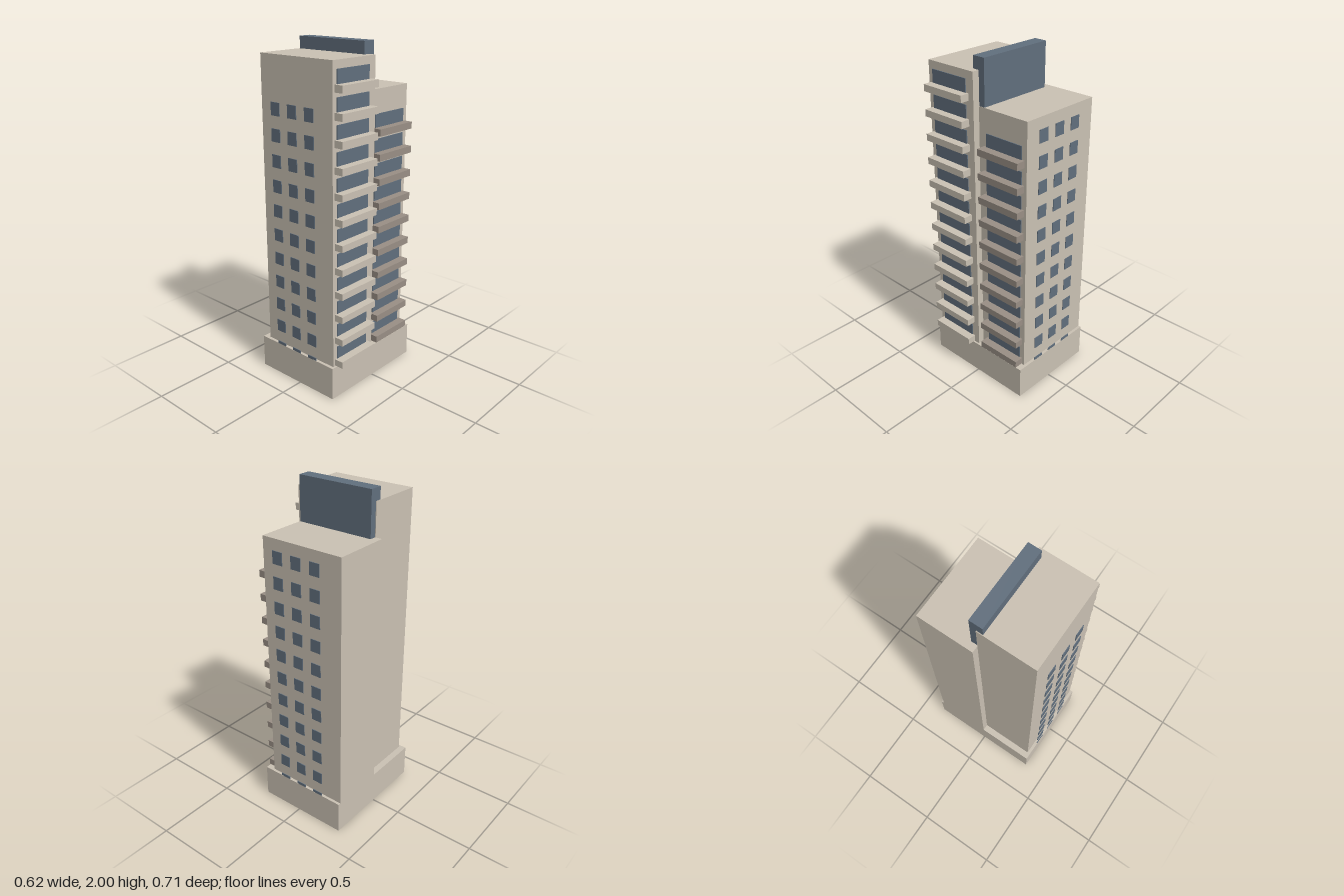
import * as THREE from 'three';

export function createModel() {
  const group = new THREE.Group();
  const material = (name, color) => {
    const m = new THREE.MeshStandardMaterial({ color });
    m.name = name;
    return m;
  };
  const concrete = material('concrete', 0xcac1b3);
  const shadedConcrete = material('dark concrete', 0x998f85);
  const glass = material('blue grey glass', 0x616f7d);

  // Box given by its limits on each axis
  const box = (name, mat, [x0, x1], [y0, y1], [z0, z1], parent = group) => {
    const mesh = new THREE.Mesh(new THREE.BoxGeometry(x1 - x0, y1 - y0, z1 - z0), mat);
    mesh.position.set((x0 + x1) / 2, (y0 + y1) / 2, (z0 + z1) / 2);
    mesh.name = name;
    parent.add(mesh);
  };
  const subgroup = (name) => {
    const g = new THREE.Group();
    g.name = name;
    group.add(g);
    return g;
  };

  // Podium, two offset towers and the spine wall between them
  box('podium', concrete, [-0.312, 0.265], [0, 0.2], [-0.357, 0.357]);
  box('frontTower', concrete, [-0.272, 0.254], [0.19, 1.93], [0, 0.338]);
  box('backTower', concrete, [-0.312, 0.214], [0.19, 1.738], [-0.34, 0]);
  box('spineWall', glass, [-0.268, 0.211], [0.19, 2], [-0.039, 0.039]);

  // Balconies and their wide windows on the left side
  const addBalconies = (name, floors, wallX, slabZ, windowZ, mat) => {
    const g = subgroup(name);
    for (let i = 0; i < floors; i++) {
      const y = 0.205 + i * 0.1422;
      box('balcony', mat, [wallX - 0.005, wallX + 0.055], [y, y + 0.04], slabZ, g);
      box('balconyWindow', glass, [wallX - 0.001, wallX + 0.005], [y + 0.01, y + 0.116], windowZ, g);
    }
  };
  addBalconies('frontBalconies', 12, 0.254, [0.035, 0.323], [0.053, 0.307], concrete);
  addBalconies('backBalconies', 10, 0.214, [-0.324, -0.036], [-0.307, -0.053], shadedConcrete);

  // Small window panes standing just off the front and back walls
  for (const side of [1, -1]) {
    const g = subgroup(side > 0 ? 'frontWindows' : 'backWindows');
    for (let row = 0; row < 11; row++) {
      const y = 0.143 + row * 0.146;
      for (const x of [-0.15, -0.024, 0.102]) {
        const z = side * 0.3545;
        box('window', glass, [x - 0.033, x + 0.033], [y, y + 0.074], [z - 0.002, z + 0.002], g);
      }
    }
  }
  return group;
}
